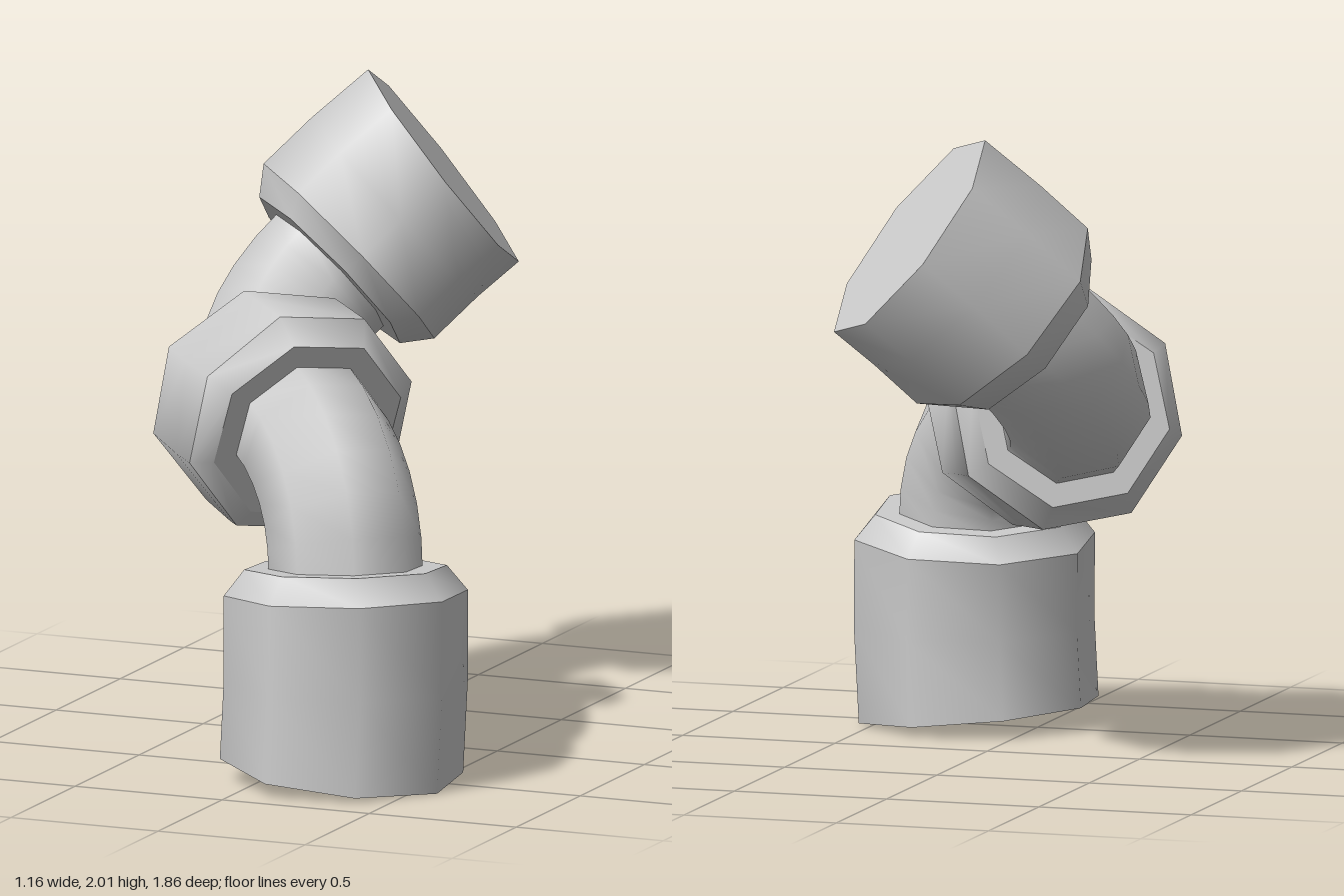
import * as THREE from 'three';
import { mergeGeometries } from 'three/addons/utils/BufferGeometryUtils.js';

const SIDES = 8, SOCKET = 0.383, LIP = 0.318, PIPE = 0.242;
const v = (x, y, z) => new THREE.Vector3(x, y, z);

// Centre line: knots with tangents, joined by near-circular arcs
const knots = [
  [v(0.21, 0.036, 0.55), v(0.10, 1, 0.01)],
  [v(0.215, 0.665, 0.53), v(-0.05, 1, -0.09)],
  [v(-0.15, 1.065, 0.18), v(-0.74, -0.03, -0.67)],
  [v(-0.24, 1.39, -0.39), v(0.55, 0.66, -0.51)],
  [v(0.06, 1.71, -0.59), v(0.70, 0.61, -0.37)],
];

function buildPath() {
  const path = new THREE.CurvePath();
  for (let i = 0; i < knots.length - 1; i++) {
    const [p, t] = knots[i], [q, u] = knots[i + 1];
    const k = p.distanceTo(q) * (i === 0 || i === 3 ? 0.335 : 0.388);
    path.add(new THREE.CubicBezierCurve3(p,
      p.clone().addScaledVector(t.clone().normalize(), k),
      q.clone().addScaledVector(u.clone().normalize(), -k), q));
  }
  return path;
}

export function createModel() {
  const group = new THREE.Group();
  const material = new THREE.MeshStandardMaterial({ color: 0xcccccc });
  const path = buildPath();
  const marks = [0, ...path.getCurveLengths()];
  const total = marks[4];

  // Twist-free frame at distance s along the centre line
  function frameAt(s) {
    const at = (d) => path.getTangent(Math.min(1, Math.max(0, d / total)));
    let t = at(0);
    const n = v(-0.26, 0, 0.966);
    n.addScaledVector(t, -n.dot(t)).normalize();
    const q = new THREE.Quaternion();
    for (let i = 1; i <= 60; i++) {
      const next = at(s * i / 60);
      n.applyQuaternion(q.setFromUnitVectors(t, next));
      t = next;
    }
    return { p: path.getPoint(Math.min(1, s / total)), n, b: t.clone().cross(n) };
  }

  // One smooth band through stations [distance, radius]
  function band(stations) {
    const pos = [], index = [];
    stations.forEach(([s, r], i) => {
      const { p, n, b } = frameAt(s);
      for (let j = 0; j < SIDES; j++) {
        const a = j / SIDES * Math.PI * 2;
        const c = p.clone().addScaledVector(n, r * Math.cos(a)).addScaledVector(b, r * Math.sin(a));
        pos.push(c.x, c.y, c.z);
        if (i === 0) continue;
        const k = (j + 1) % SIDES, lo = (i - 1) * SIDES, hi = i * SIDES;
        index.push(lo + j, lo + k, hi + j, lo + k, hi + k, hi + j);
      }
    });
    const g = new THREE.BufferGeometry();
    g.setAttribute('position', new THREE.Float32BufferAttribute(pos, 3));
    g.setIndex(index);
    g.computeVertexNormals();
    return g;
  }

  function addPart(name, bands) {
    const mesh = new THREE.Mesh(mergeGeometries(bands.map(band)), material);
    mesh.name = name;
    group.add(mesh);
  }

  // Evenly spaced stations of equal radius
  const tube = (from, to, r, steps) =>
    Array.from({ length: steps + 1 }, (_, i) => [from + (to - from) * i / steps, r]);
  // Chamfer and flat lip; the chamfer runs from the socket edge to the lip
  const chamfer = (edge, lip) => [[edge, SOCKET], [lip, LIP]];
  const face = (s) => [[s, LIP], [s, PIPE - 0.02]];
  const flip = (b) => b.slice().reverse();

  const [, low, mid, high] = marks;
  const midStart = mid - 0.19, midEnd = mid + 0.18;

  // Lower socket with closed end
  addPart('lowerSocket', [
    [[0, 0], [0, SOCKET]],
    tube(0, low - 0.08, SOCKET, 2),
    chamfer(low - 0.08, low),
    face(low),
  ]);

  // Two bent pipes
  addPart('lowerBend', [tube(low - 0.02, midStart + 0.02, PIPE, 6)]);
  addPart('upperBend', [tube(midEnd - 0.02, high + 0.02, PIPE, 6)]);

  // Coupling ring between the bends
  addPart('couplingRing', [
    flip(face(midStart)),
    flip(chamfer(mid - 0.135, midStart)),
    tube(mid - 0.135, mid + 0.125, SOCKET, 2),
    chamfer(mid + 0.125, midEnd),
    face(midEnd),
  ]);

  // Upper socket with closed end
  addPart('upperSocket', [
    flip(face(high)),
    flip(chamfer(high + 0.085, high)),
    tube(high + 0.085, total, SOCKET, 2),
    [[total, SOCKET], [total, 0]],
  ]);

  return group;
}
